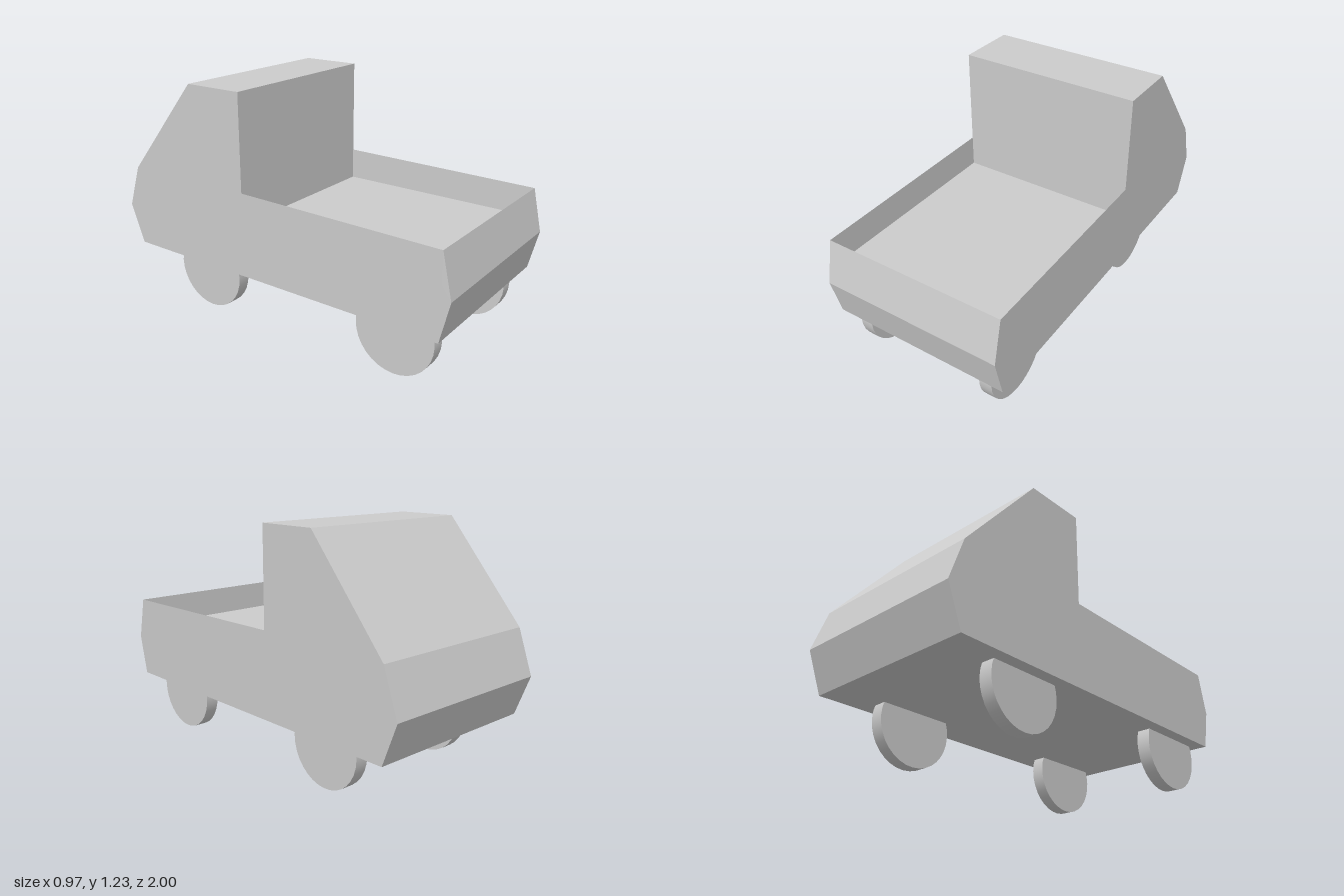
import * as THREE from 'three';

const HALF_WIDTH = 0.483;
const grey = new THREE.MeshStandardMaterial({ color: 0xcccccc });
const thin = new THREE.MeshStandardMaterial({ color: 0xcccccc, side: THREE.DoubleSide });

// Shape from [z, y] points of the side profile
const sideShape = (points) => new THREE.Shape(points.map(([z, y]) => new THREE.Vector2(z, y)));

export function createModel() {
  const truck = new THREE.Group();
  truck.name = 'pickupTruck';

  const add = (name, geometry, material, x = 0, y = 0, z = 0) => {
    const mesh = new THREE.Mesh(geometry, material);
    mesh.name = name;
    mesh.position.set(x, y, z);
    truck.add(mesh);
  };

  // Body: tailgate wedge, sunken bed floor, cab and nose in one profile
  const body = new THREE.ExtrudeGeometry(sideShape([
    [0.95, 0.28], [1, 0.49], [0.95, 0.715], [0.95, 0.56], [-0.16, 0.56],
    [-0.16, 1.23], [-0.487, 1.23], [-0.92, 0.72], [-1, 0.49], [-0.92, 0.28],
  ]), { depth: 2 * HALF_WIDTH, bevelEnabled: false });
  body.translate(0, 0, -HALF_WIDTH).rotateY(-Math.PI / 2);
  add('body', body, grey);

  // Thin walls along both sides of the bed
  const wall = new THREE.ShapeGeometry(sideShape([
    [-0.16, 0.56], [0.95, 0.56], [0.95, 0.715], [-0.16, 0.727],
  ])).rotateY(-Math.PI / 2);
  add('leftBedWall', wall, thin, HALF_WIDTH);
  add('rightBedWall', wall, thin, -HALF_WIDTH);

  // Wheels, tucked up into the underside
  const wheel = new THREE.CylinderGeometry(0.21, 0.21, 0.07, 32).rotateZ(Math.PI / 2);
  for (const [end, z] of [['bed', 0.69], ['cab', -0.47]]) {
    add(`${end}LeftWheel`, wheel, grey, 0.35, 0.21, z);
    add(`${end}RightWheel`, wheel, grey, -0.381, 0.21, z);
  }
  return truck;
}
